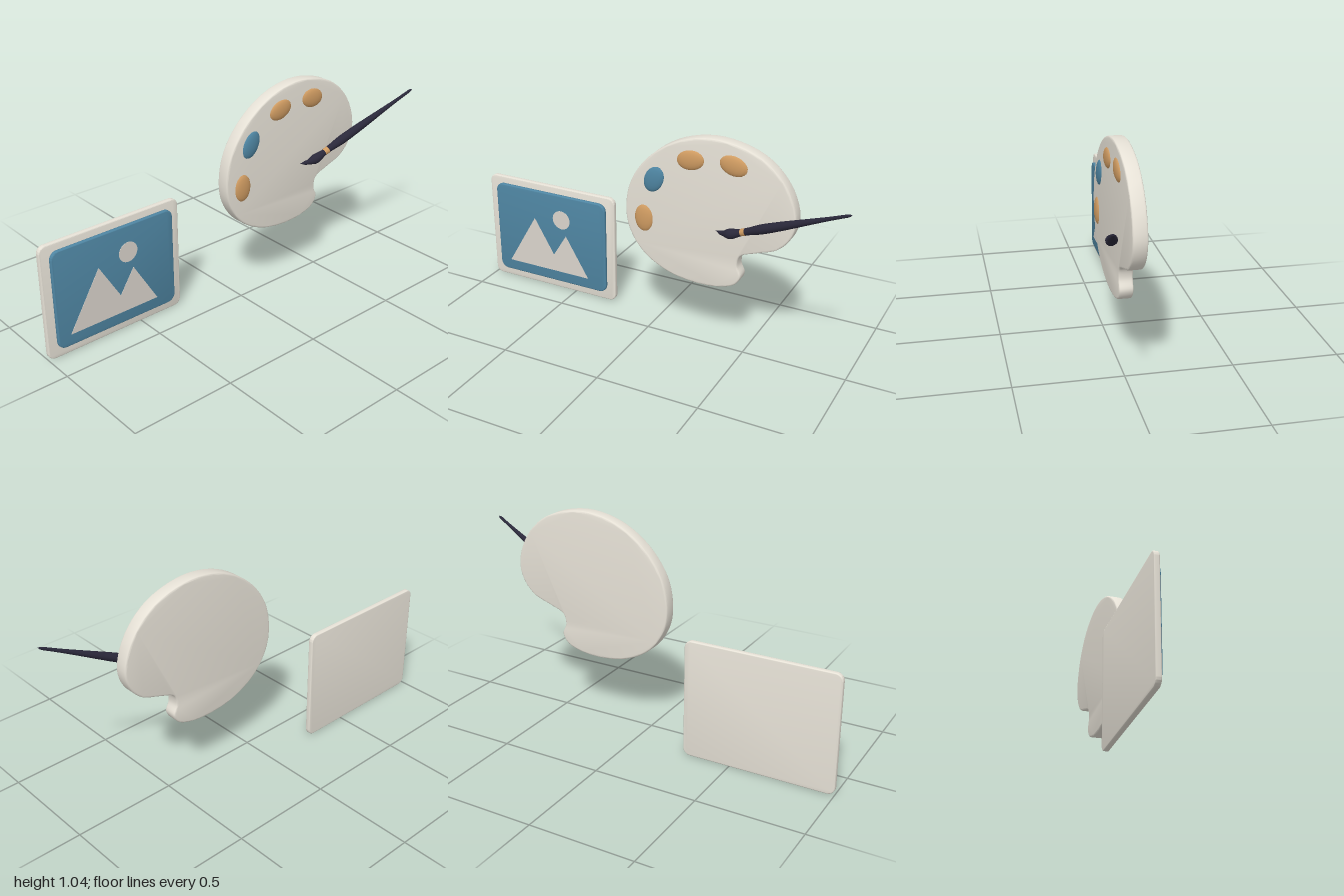
import * as THREE from 'three';
import { toCreasedNormals } from 'three/addons/utils/BufferGeometryUtils.js';

const paint = (color) => new THREE.MeshStandardMaterial({ color });
const cream = paint(0xe6e1d6), blue = paint(0x4f86a3), orange = paint(0xd09c62);
const dark = paint(0x2a283a), pale = paint(0xdad4cc);

function add(parent, name, geometry, material) {
  const mesh = new THREE.Mesh(geometry, material);
  mesh.name = name;
  parent.add(mesh);
  return mesh;
}

// Extrude a side-on outline (u = -z, y) between two x positions
function slab(shape, x0, x1, bevel, curveSegments = 10) {
  const g = new THREE.ExtrudeGeometry(shape, {
    depth: x1 - x0 - 2 * bevel, curveSegments,
    bevelEnabled: bevel > 0, bevelThickness: bevel, bevelSize: bevel,
    bevelOffset: -bevel, bevelSegments: 3,
  });
  g.translate(0, 0, x0 + bevel);
  g.rotateY(Math.PI / 2);
  return toCreasedNormals(g, 0.6);
}

function roundedRect(u0, y0, u1, y1, r) {
  const s = new THREE.Shape();
  s.absarc(u1 - r, y0 + r, r, -Math.PI / 2, 0);
  s.absarc(u1 - r, y1 - r, r, 0, Math.PI / 2);
  s.absarc(u0 + r, y1 - r, r, Math.PI / 2, Math.PI);
  s.absarc(u0 + r, y0 + r, r, Math.PI, Math.PI * 1.5);
  s.closePath();
  return s;
}

// Tube along a path whose radius follows [t, radius] stops
function taperedTube(points, stops, rings = 32) {
  const curve = new THREE.CatmullRomCurve3(points.map((p) => new THREE.Vector3(...p)));
  const sides = 16;
  const g = new THREE.TubeGeometry(curve, rings, 1, sides, false);
  const pos = g.attributes.position, v = new THREE.Vector3();
  for (let i = 0; i <= rings; i++) {
    const t = i / rings, c = curve.getPointAt(t);
    let k = 0;
    while (k < stops.length - 2 && t > stops[k + 1][0]) k++;
    const [a, ra] = stops[k], [b, rb] = stops[k + 1];
    const r = THREE.MathUtils.lerp(ra, rb, THREE.MathUtils.smoothstep(t, a, b));
    for (let j = 0; j <= sides; j++) {
      const n = i * (sides + 1) + j;
      v.fromBufferAttribute(pos, n).sub(c).multiplyScalar(r).add(c);
      pos.setXYZ(n, v.x, v.y, v.z);
    }
  }
  g.computeVertexNormals();
  // Average the normals along the seam
  const nor = g.attributes.normal, w = new THREE.Vector3();
  for (let i = 0; i <= rings; i++) {
    const a = i * (sides + 1), b = a + sides;
    v.fromBufferAttribute(nor, a).add(w.fromBufferAttribute(nor, b)).normalize();
    nor.setXYZ(a, v.x, v.y, v.z);
    nor.setXYZ(b, v.x, v.y, v.z);
  }
  return g;
}

function createPicture() {
  const group = new THREE.Group();
  group.name = 'picture';
  add(group, 'pictureFrame', slab(roundedRect(-1, 0, -0.265, 0.57, 0.035), -0.17, -0.145, 0.005), cream);
  add(group, 'picturePanel', slab(roundedRect(-0.955, 0.045, -0.31, 0.535, 0.04), -0.147, -0.127, 0.006), blue);

  const peaks = new THREE.Shape([
    [-0.89, 0.103], [-0.415, 0.103], [-0.54, 0.315], [-0.617, 0.195], [-0.725, 0.38],
  ].map(([u, y]) => new THREE.Vector2(u, y)));
  add(group, 'mountains', slab(peaks, -0.13, -0.1255, 0), pale);
  const disc = new THREE.Shape().absarc(-0.564, 0.402, 0.05, 0, Math.PI * 2);
  add(group, 'sun', slab(disc, -0.13, -0.1255, 0, 24), pale);
  return group;
}

function createPalette() {
  const group = new THREE.Group();
  group.name = 'palette';
  // Kidney outline with the thumb notch at the lower right
  const outline = new THREE.CatmullRomCurve3([
    [-0.105, 0.65], [-0.09, 0.533], [-0.015, 0.42], [0.115, 0.345], [0.27, 0.32],
    [0.39, 0.332], [0.455, 0.36], [0.48, 0.405], [0.462, 0.455], [0.475, 0.507],
    [0.55, 0.54], [0.645, 0.577], [0.705, 0.645], [0.725, 0.735], [0.675, 0.875],
    [0.555, 0.988], [0.355, 1.04], [0.17, 1.007], [0.02, 0.91], [-0.075, 0.78],
  ].map(([u, y]) => new THREE.Vector3(u, y, 0)), true);
  const shape = new THREE.Shape(outline.getPoints(100).slice(0, -1).map((p) => new THREE.Vector2(p.x, p.y)));
  add(group, 'paletteBoard', slab(shape, -0.042, 0.023, 0.008), cream);

  // Paint dabs: u, y, tilt, material
  [
    [-0.01, 0.597, Math.PI / 2, orange],
    [0.041, 0.8, 1.1, blue],
    [0.222, 0.925, 0.2, orange],
    [0.428, 0.935, -0.2, orange],
  ].forEach(([u, y, tilt, material], i) => {
    const g = new THREE.SphereGeometry(1, 16, 12);
    g.scale(0.069, 0.047, 0.017).rotateZ(tilt).rotateY(Math.PI / 2);
    add(group, 'paintDab' + (i + 1), g, material).position.set(0.02, y, -u);
  });
  return group;
}

function createBrush() {
  const group = new THREE.Group();
  group.name = 'brush';
  const neck = [0.056, 0.646, -0.49], collar = [0.06, 0.656, -0.512], end = [0.16, 0.88, -1];
  add(group, 'bristles', taperedTube(
    [[0.026, 0.614, -0.355], [0.04, 0.615, -0.395], [0.052, 0.627, -0.44], neck],
    [[0, 0.001], [0.25, 0.011], [0.6, 0.024], [1, 0.016]]), dark);
  add(group, 'ferrule', taperedTube([neck, collar], [[0, 0.0165], [1, 0.0175]], 2), orange);
  add(group, 'handle', taperedTube([collar, end],
    [[0, 0.0165], [0.17, 0.022], [0.97, 0.007], [1, 0.0005]], 48), dark);
  return group;
}

export function createModel() {
  const model = new THREE.Group();
  model.name = 'artSet';
  model.add(createPicture(), createPalette(), createBrush());
  return model;
}
